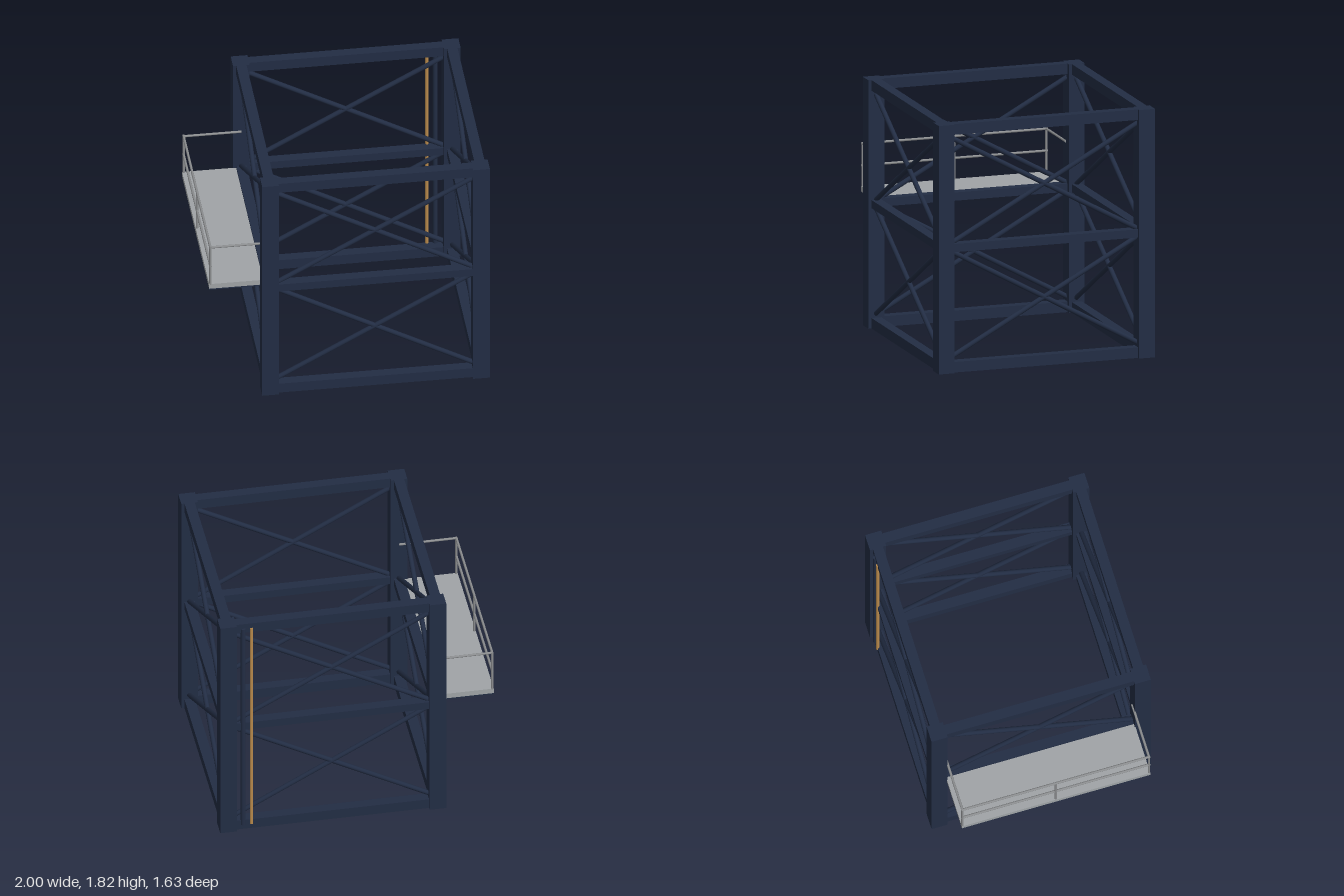
import * as THREE from 'three';

const navy = new THREE.MeshStandardMaterial({ color: 0x222d44 });
navy.name = 'navy steel';
const deckGrey = new THREE.MeshStandardMaterial({ color: 0xa0a4a7 });
deckGrey.name = 'deck grey';
const railGrey = new THREE.MeshStandardMaterial({ color: 0x8c8e90 });
railGrey.name = 'rail grey';
const copper = new THREE.MeshStandardMaterial({ color: 0xb98a4c });
copper.name = 'copper';

const CX = 0.1825, HX = 0.7575, HZ = 0.755, H = 1.815;
const XL = CX - HX, XR = CX + HX;

function box(parent, name, mat, w, h, d, x, y, z) {
  const m = new THREE.Mesh(new THREE.BoxGeometry(w, h, d), mat);
  m.name = name;
  m.position.set(x, y, z);
  parent.add(m);
  return m;
}

// Round bar between two points
function bar(parent, name, mat, a, b, r, sides = 10) {
  const A = new THREE.Vector3(...a), B = new THREE.Vector3(...b);
  const dir = B.clone().sub(A);
  const m = new THREE.Mesh(new THREE.CylinderGeometry(r, r, dir.length(), sides), mat);
  m.name = name;
  m.position.copy(A).add(B).multiplyScalar(0.5);
  m.quaternion.setFromUnitVectors(new THREE.Vector3(0, 1, 0), dir.normalize());
  parent.add(m);
  return m;
}

export function createModel() {
  const model = new THREE.Group();
  model.name = 'steelFrameModule';

  // Corner posts
  const frame = new THREE.Group();
  frame.name = 'frame';
  model.add(frame);
  for (const x of [XL, XR]) for (const z of [-HZ, HZ])
    box(frame, 'cornerPost', navy, 0.12, H, 0.12, x, H / 2, z);

  // Horizontal beams on three levels: [centre height, depth]
  const levels = [[0.0385, 0.077], [0.909, 0.06], [H - 0.0385, 0.077]];
  for (const [y, h] of levels) {
    for (const z of [-HZ, HZ])
      box(frame, 'crossBeam', navy, 2 * HX - 0.1, h, 0.074, CX, y, z);
    for (const x of [XL, XR])
      box(frame, 'sideBeam', navy, 0.074, h, 2 * HZ - 0.1, x, y, 0);
  }

  // X braces in both storeys of all four faces
  const braces = new THREE.Group();
  braces.name = 'braces';
  model.add(braces);
  for (const [lo, hi] of [[0.077, 0.909], [0.909, 1.738]]) {
    for (const [a, b] of [[lo, hi], [hi, lo]]) {
      for (const z of [-HZ, HZ])
        bar(braces, 'brace', navy, [XL, a, z], [XR, b, z], 0.018);
      for (const x of [XL, XR])
        bar(braces, 'brace', navy, [x, a, -HZ], [x, b, HZ], 0.018);
    }
  }

  // Walkway with dark underside
  const walkway = new THREE.Group();
  walkway.name = 'walkway';
  model.add(walkway);
  box(walkway, 'deck', deckGrey, 0.425, 0.04, 1.4, -0.7875, 0.906, 0);
  box(walkway, 'deckUnderside', navy, 0.425, 0.009, 1.4, -0.7875, 0.8815, 0);

  // Handrail
  const RX = -0.99, RZ = 0.693, r = 0.009;
  for (const z of [-RZ, 0, RZ])
    bar(walkway, 'railPost', railGrey, [RX, 0.92, z], [RX, 1.24, z], r);
  for (const y of [1.08, 1.24])
    bar(walkway, 'rail', railGrey, [RX, y, -RZ - r], [RX, y, RZ + r], r);
  for (const z of [-RZ, RZ])
    bar(walkway, 'endRail', railGrey, [RX, 1.24, z], [XL, 1.24, z], r);

  // Vertical pipes beside the back corner
  bar(model, 'copperPipe', copper, [0.77, 0.04, -0.79], [0.77, 1.775, -0.79], 0.012, 16);
  bar(model, 'darkPipe', navy, [0.83, 0.04, -0.788], [0.83, 1.775, -0.788], 0.018, 16);

  return model;
}
